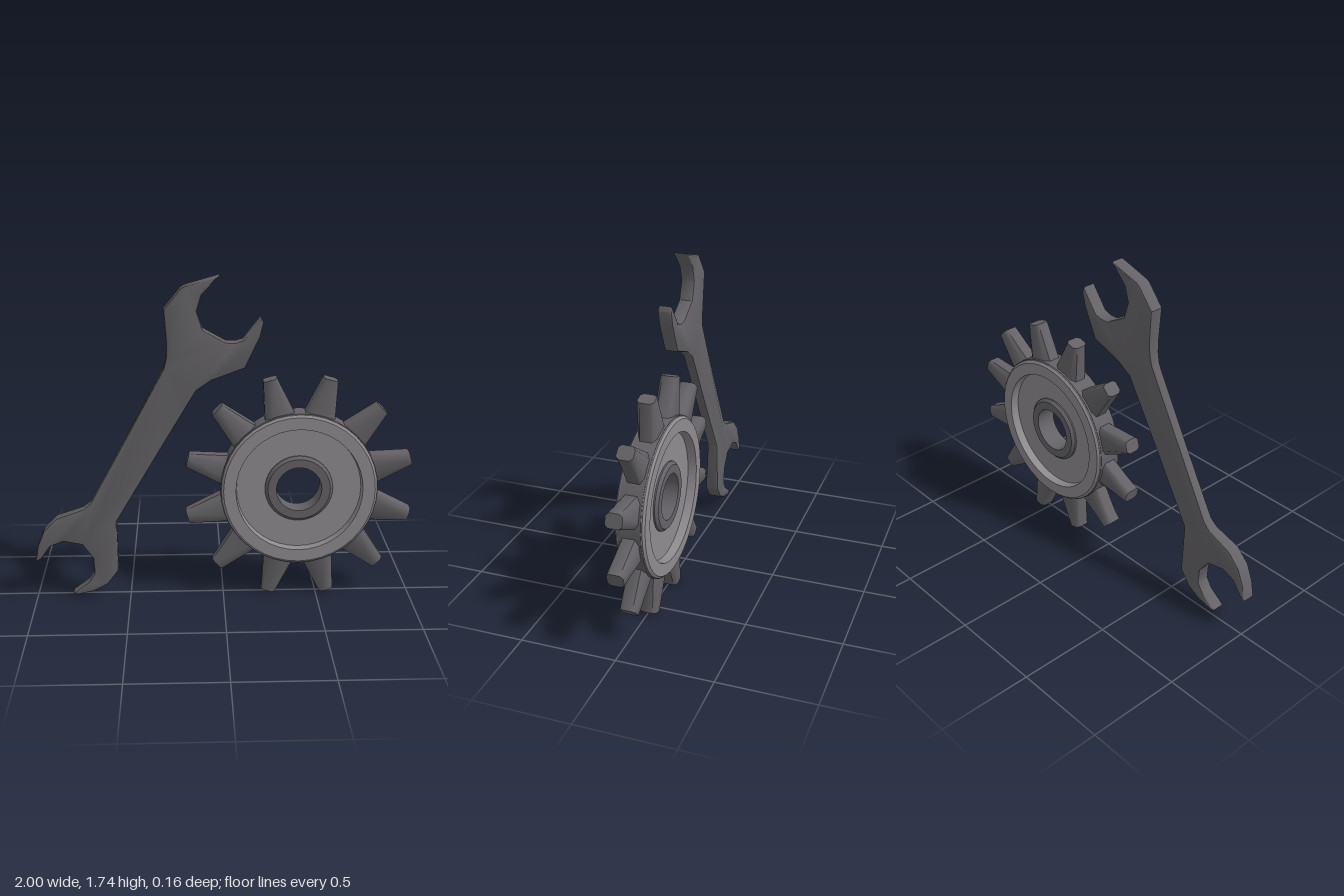
import * as THREE from 'three';
import { toCreasedNormals } from 'three/addons/utils/BufferGeometryUtils.js';

const steel = new THREE.MeshStandardMaterial({ color: 0x646266 });
steel.name = 'dark steel';
const plate = new THREE.MeshStandardMaterial({ color: 0x8e8b8f });
plate.name = 'light steel';

const mesh = (name, geometry, material) => {
  const m = new THREE.Mesh(geometry, material);
  m.name = name;
  return m;
};

// Closed profile of [radius, depth] points, turned about the z axis
function ring(name, profile, material) {
  const points = [...profile, profile[0]].map(([r, d]) => new THREE.Vector2(r, d));
  const geometry = toCreasedNormals(new THREE.LatheGeometry(points, 40), 0.5);
  return mesh(name, geometry.rotateX(Math.PI / 2), material);
}

// Tapered tooth with chamfered corners, pointing along +y from the gear axis
function toothGeometry() {
  const inner = 0.37, outer = 0.61;
  const geometry = new THREE.CylinderGeometry(1, 1, outer - inner, 8, 1);
  geometry.rotateY(Math.PI / 8).translate(0, (inner + outer) / 2, 0);
  const p = geometry.attributes.position;
  const corner = (v, half) => Math.abs(v) < 0.1 ? 0 : Math.sign(v) * half * (Math.abs(v) > 0.6 ? 1 : 0.62);
  for (let i = 0; i < p.count; i++) {
    const tip = p.getY(i) > 0.5;
    p.setX(i, corner(p.getX(i), tip ? 0.037 : 0.088));
    p.setZ(i, corner(p.getZ(i), tip ? 0.043 : 0.05));
  }
  return toCreasedNormals(geometry, 0.9);
}

function createGear() {
  const gear = new THREE.Group();
  gear.name = 'gear';

  // Recessed disc with a raised rim on both faces
  const half = [[0.415, 0.05], [0.412, 0.066], [0.4, 0.077], [0.335, 0.077], [0.33, 0.032], [0.17, 0.032]];
  const back = half.map(([r, d]) => [r, -d]).reverse();
  gear.add(ring('disc', [...back, ...half], plate));

  // Bored hub
  gear.add(ring('hub', [
    [0.12, -0.055], [0.165, -0.055], [0.18, -0.04], [0.18, 0.04], [0.165, 0.055], [0.12, 0.055],
  ], steel));

  // Dark band around the disc, and the teeth
  gear.add(ring('toothBand', [
    [0.39, -0.06], [0.416, -0.06], [0.418, 0], [0.416, 0.06], [0.39, 0.06],
  ], steel));
  const geometry = toothGeometry();
  for (let i = 0; i < 12; i++) {
    const tooth = mesh('tooth', geometry, steel);
    tooth.rotation.z = (i + 0.5) * Math.PI / 6;
    gear.add(tooth);
  }
  gear.position.set(0.4, 0.605, -0.007);
  return gear;
}

function createWrench() {
  // Outline: upper head, shaft, lower head, then back up the other side
  const outline = [
    [-0.02, 1.742], [-0.195, 1.692], [-0.215, 1.68], [-0.302, 1.575], [-0.29, 1.4], [-0.292, 1.33], [-0.305, 1.27],
    [-0.5, 0.91], [-0.7, 0.545], [-0.74, 0.512], [-0.88, 0.465], [-0.95, 0.395], [-0.985, 0.31], [-1.0, 0.22],
    [-0.97, 0.235], [-0.92, 0.305], [-0.85, 0.333], [-0.75, 0.313], [-0.695, 0.235], [-0.69, 0.15], [-0.72, 0.1],
    [-0.805, 0.035], [-0.78, 0.026], [-0.695, 0.045], [-0.62, 0.085], [-0.56, 0.165], [-0.565, 0.44],
    [-0.35, 0.8], [-0.14, 1.15], [-0.06, 1.205], [0.11, 1.27], [0.185, 1.43], [0.203, 1.505], [0.19, 1.532],
    [0.1, 1.415], [0.06, 1.403], [0.01, 1.405], [-0.105, 1.47], [-0.135, 1.565], [-0.11, 1.645],
  ];
  const shape = new THREE.Shape(outline.map(([x, y]) => new THREE.Vector2(x, y)));
  const geometry = new THREE.ExtrudeGeometry(shape, {
    depth: 0.052, bevelThickness: 0.012, bevelSize: 0.012, bevelOffset: -0.012, bevelSegments: 2,
  }).translate(0, 0, -0.026);

  // Thin the shaft between the two heads
  const p = geometry.attributes.position;
  for (let i = 0; i < p.count; i++) {
    const along = (p.getX(i) + 0.42) * 0.49 + (p.getY(i) - 0.87) * 0.87;
    const head = THREE.MathUtils.smoothstep(Math.abs(along), 0.35, 0.62);
    p.setZ(i, p.getZ(i) * (0.7 + 0.3 * head));
  }
  const wrench = mesh('wrench', toCreasedNormals(geometry, 0.7), steel);
  wrench.position.z = 0.036;
  return wrench;
}

export function createModel() {
  const model = new THREE.Group();
  model.name = 'gearAndWrench';
  model.add(createGear(), createWrench());
  return model;
}
